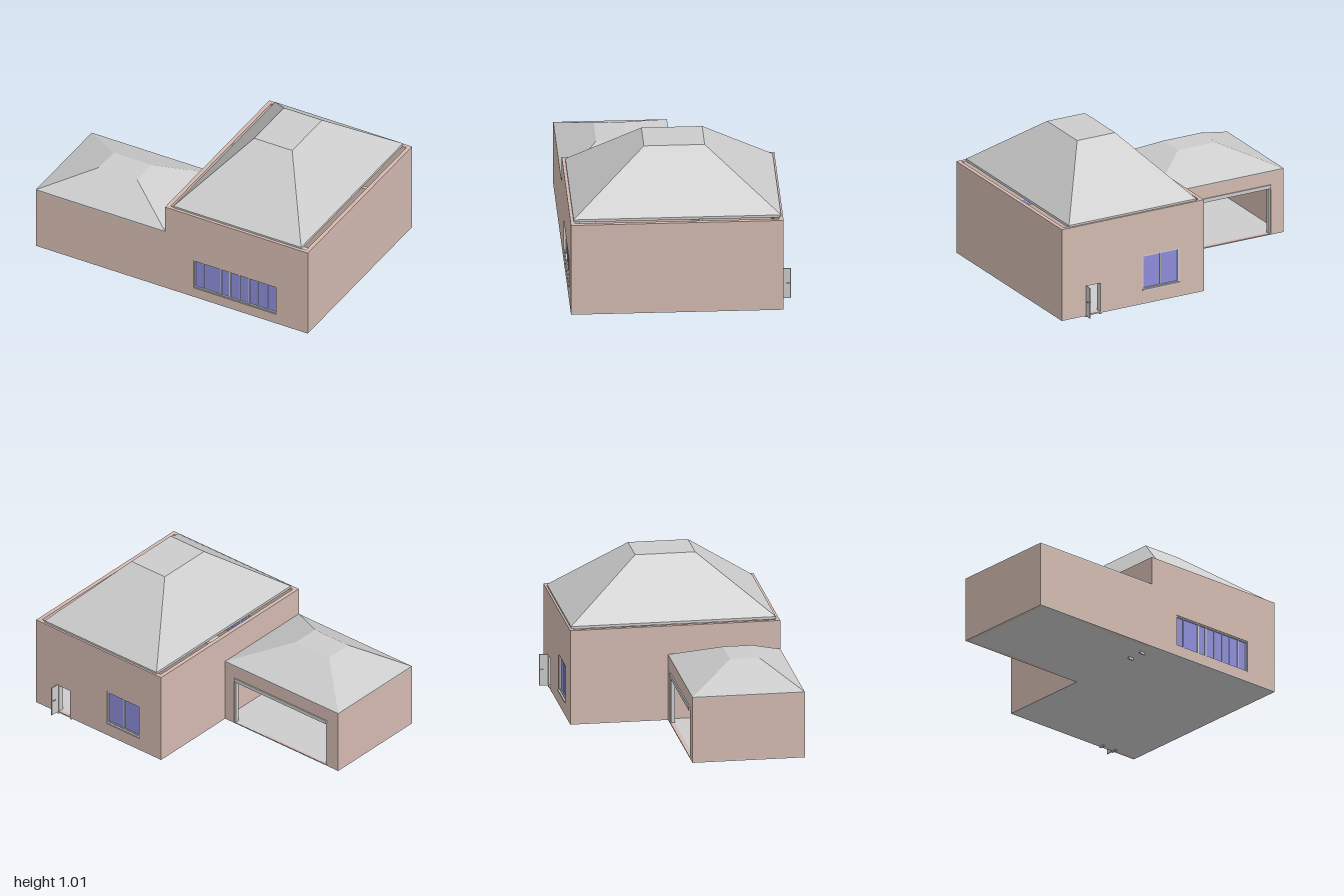
import * as THREE from 'three';

const grey = new THREE.MeshStandardMaterial({ color: 0xcccccc });
const brick = new THREE.MeshStandardMaterial({ color: 0xd2b9b0 });
const glass = new THREE.MeshStandardMaterial({ color: 0x8c8cd9 });

const T = 0.027; // wall thickness
const BASE = 0.015; // underside of the floor

export function createModel() {
  const model = new THREE.Group();
  model.name = 'house';

  function add(name, geometry, material = grey, parent = model) {
    const mesh = new THREE.Mesh(geometry, material);
    mesh.name = name;
    parent.add(mesh);
    return mesh;
  }

  // box given by its limits on each axis
  function box(name, x0, x1, y0, y1, z0, z1, material = grey, parent = model) {
    const mesh = add(name, new THREE.BoxGeometry(x1 - x0, y1 - y0, z1 - z0), material, parent);
    mesh.position.set((x0 + x1) / 2, (y0 + y1) / 2, (z0 + z1) / 2);
    return mesh;
  }

  // upright wall from u0 to u1 with rectangular openings [u0, u1, y0, y1]
  function wall(name, u0, u1, top, openings) {
    const rect = (path, a, b, c, d) =>
      path.moveTo(a, c).lineTo(b, c).lineTo(b, d).lineTo(a, d).lineTo(a, c);
    const shape = rect(new THREE.Shape(), u0, u1, BASE, top);
    for (const o of openings) shape.holes.push(rect(new THREE.Path(), ...o));
    return add(name, new THREE.ExtrudeGeometry(shape, { depth: T, bevelEnabled: false }), brick);
  }

  // hipped roof: a box whose top is drawn in to a smaller flat rectangle
  function hipRoof(name, base, top, y0, y1) {
    const g = new THREE.BoxGeometry(1, 1, 1);
    const p = g.attributes.position;
    for (let i = 0; i < p.count; i++) {
      const up = p.getY(i) > 0;
      const r = up ? top : base;
      p.setXYZ(i, p.getX(i) < 0 ? r[0] : r[1], up ? y1 : y0, p.getZ(i) < 0 ? r[2] : r[3]);
    }
    g.computeVertexNormals();
    return add(name, g);
  }

  // rectangular frame in the xy plane, made of four bars
  function frame(name, x0, x1, y0, y1, z0, z1, w, parent = model) {
    const g = new THREE.Group();
    g.name = name;
    parent.add(g);
    box('leftBar', x0, x0 + w, y0, y1, z0, z1, grey, g);
    box('rightBar', x1 - w, x1, y0, y1, z0, z1, grey, g);
    box('bottomBar', x0 + w, x1 - w, y0, y0 + w, z0, z1, grey, g);
    box('topBar', x0 + w, x1 - w, y1 - w, y1, z0, z1, grey, g);
    return g;
  }

  // floors
  box('houseFloor', -0.05, 1, BASE, 0.022, -0.655, 0.71);
  box('garageFloor', -1, -0.05, BASE, 0.022, -0.02, 0.71);

  // house walls
  wall('houseFrontWall', -0.05, 1, 0.645, [[0.16, 0.77, 0.085, 0.3]]).position.z = 0.71 - T;
  wall('houseBackWall', -0.05, 1, 0.645, [
    [0.13, 0.405, 0.11, 0.35], [0.71, 0.815, 0.023, 0.228],
  ]).position.z = -0.655;
  box('houseLeftWall', 1 - T, 1, BASE, 0.645, -0.655 + T, 0.71 - T, brick);
  const shared = wall('sharedWall', -0.655 + T, 0.71 - T, 0.645, [[0.49, 0.6, 0.023, 0.228]]);
  shared.rotation.y = -Math.PI / 2;
  shared.position.x = -0.05 + T;
  box('partition', -0.05 + T, 1 - T, 0.02, 0.63, -0.14, -0.115, brick);

  // garage walls
  box('garageFrontWall', -1, -0.05, BASE, 0.45, 0.71 - T, 0.71, brick);
  box('garageRightWall', -1, -1 + T, BASE, 0.45, -0.02 + T, 0.71 - T, brick);
  wall('garageBackWall', -1, -0.05, 0.45, [[-0.905, -0.125, 0.022, 0.36]]).position.z = -0.02;

  // roofs with thin eaves
  box('houseEave', 0, 0.94, 0.64, 0.657, -0.642, 0.69);
  hipRoof('houseRoof', [0, 0.94, -0.642, 0.69], [0.33, 0.61, -0.17, 0.22], 0.657, 1.015);
  box('garageEave', -1, -0.05, 0.444, 0.454, -0.02, 0.71);
  hipRoof('garageRoof', [-1, -0.05, -0.02, 0.71], [-0.67, -0.39, 0.28, 0.47], 0.454, 0.595);

  // front window with its row of panes
  const front = new THREE.Group();
  front.name = 'frontWindow';
  model.add(front);
  frame('frontFrame', 0.16, 0.77, 0.085, 0.3, 0.685, 0.705, 0.008, front);
  const panes = [
    [0.169, 0.228], [0.233, 0.351], [0.361, 0.415], [0.425, 0.49],
    [0.495, 0.56], [0.565, 0.623], [0.629, 0.693], [0.698, 0.762],
  ];
  panes.forEach(([a, b], i) => {
    box('pane', a, b, 0.093, 0.292, 0.688, 0.694, glass, front);
    if (i) box('mullion', panes[i - 1][1], a, 0.093, 0.292, 0.686, 0.7, grey, front);
  });

  // back window with two panes and a sill
  const back = new THREE.Group();
  back.name = 'backWindow';
  model.add(back);
  frame('backFrame', 0.13, 0.405, 0.11, 0.35, -0.65, -0.63, 0.012, back);
  box('mullion', 0.263, 0.272, 0.122, 0.338, -0.648, -0.632, grey, back);
  for (const [a, b] of [[0.142, 0.263], [0.272, 0.393]])
    box('pane', a, b, 0.122, 0.338, -0.643, -0.637, glass, back);
  box('sill', 0.13, 0.405, 0.105, 0.115, -0.662, -0.64, grey, back);

  // back door, swung open
  for (const x of [0.705, 0.81]) box('doorPost', x, x + 0.01, 0.005, 0.228, -0.654, -0.613);
  box('doorHead', 0.715, 0.81, 0.22, 0.23, -0.654, -0.613);
  const door = new THREE.Group();
  door.name = 'backDoor';
  door.position.set(0.815, 0, -0.615);
  door.rotation.y = -0.1;
  model.add(door);
  box('doorLeaf', -0.003, 0.003, 0.017, 0.225, -0.096, 0, grey, door);
  for (const s of [-1, 1]) {
    const x = s * 0.006;
    box('handleStem', x - 0.004, x + 0.004, 0.122, 0.127, -0.087, -0.083, grey, door);
    box('handleLever', s * 0.01 - 0.002, s * 0.01 + 0.002, 0.122, 0.127, -0.087, -0.068, grey, door);
  }

  // inner door between house and garage
  for (const z of [0.485, 0.595]) box('innerDoorPost', -0.055, -0.015, 0, 0.228, z, z + 0.01);
  box('innerDoorHead', -0.055, -0.015, 0.22, 0.23, 0.495, 0.595);
  box('innerDoorLeaf', -0.04, -0.033, 0.02, 0.22, 0.495, 0.595);

  // garage door frame, header and raised overhead panel
  for (const x of [-0.905, -0.137]) box('garageDoorPost', x, x + 0.012, 0.022, 0.36, -0.015, 0.012);
  box('garageDoorHeader', -0.9, -0.13, 0.335, 0.36, -0.028, 0.012);
  box('overheadDoor', -0.893, -0.137, 0.362, 0.372, 0.012, 0.34);
  for (const x of [-0.9, -0.137]) box('doorRail', x, x + 0.008, 0.35, 0.362, 0.012, 0.5);
  box('doorOpener', -0.55, -0.48, 0.33, 0.362, 0.36, 0.46);

  return model;
}
